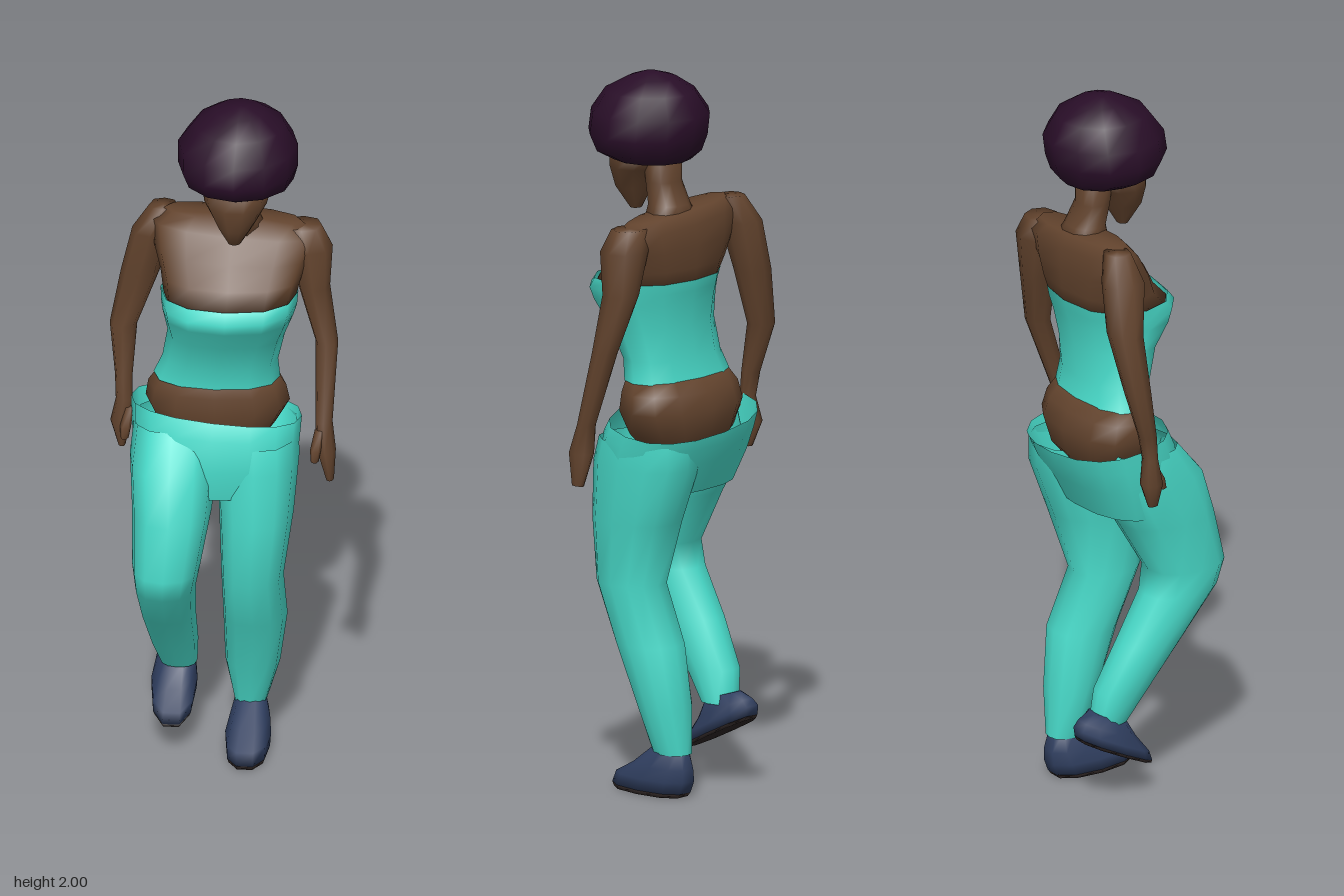
import * as THREE from 'three';

const mat = (name, color, side = THREE.FrontSide) => {
  const m = new THREE.MeshStandardMaterial({ color, side });
  m.name = name;
  return m;
};

// Lofts rings listed bottom to top: [y, x0, x1, z0, z1, slopeX, slopeZ]
function loft(rings, { sides = 12, power = 0.85, bottom = true, top = true } = {}) {
  const pos = [], idx = [];
  const bend = (v) => Math.sign(v) * Math.pow(Math.abs(v), power);
  for (const [y, x0, x1, z0, z1, sx = 0, sz = 0] of rings) {
    for (let j = 0; j < sides; j++) {
      const t = (j / sides) * Math.PI * 2;
      const dx = bend(Math.cos(t)) * (x1 - x0) / 2;
      const dz = bend(Math.sin(t)) * (z1 - z0) / 2;
      pos.push((x0 + x1) / 2 + dx, y + sx * dx + sz * dz, (z0 + z1) / 2 + dz);
    }
  }
  for (let i = 0; i < rings.length - 1; i++) {
    for (let j = 0; j < sides; j++) {
      const k = (j + 1) % sides;
      const a = i * sides + j, b = i * sides + k;
      idx.push(a, a + sides, b, b, a + sides, b + sides);
    }
  }
  const cap = (row, up) => {
    const [y, x0, x1, z0, z1] = rings[row];
    const c = pos.length / 3;
    pos.push((x0 + x1) / 2, y, (z0 + z1) / 2);
    for (let j = 0; j < sides; j++) {
      const a = row * sides + j, b = row * sides + (j + 1) % sides;
      if (up) idx.push(c, b, a);
      else idx.push(c, a, b);
    }
  };
  if (bottom) cap(0, false);
  if (top) cap(rings.length - 1, true);
  const g = new THREE.BufferGeometry();
  g.setAttribute('position', new THREE.Float32BufferAttribute(pos, 3));
  g.setIndex(idx);
  g.computeVertexNormals();
  return g;
}

export function createModel() {
  const model = new THREE.Group();
  model.name = 'walkingWoman';
  const skin = mat('skin', 0x62432d);
  const cloth = mat('turquoise cloth', 0x48dac9, THREE.DoubleSide);
  const hairMat = mat('hair', 0x290e28);
  const shoeMat = mat('navy shoe', 0x303f60);
  const soleMat = mat('dark sole', 0x2b2322);

  const add = (name, material, rings, opts) => {
    const mesh = new THREE.Mesh(loft(rings, opts), material);
    mesh.name = name;
    model.add(mesh);
  };

  // Head
  add('hair', hairMat, [
    [1.76, -0.06, 0.15, -0.13, 0.09],
    [1.785, -0.105, 0.195, -0.155, 0.135],
    [1.83, -0.12, 0.207, -0.172, 0.163],
    [1.89, -0.12, 0.207, -0.18, 0.153],
    [1.95, -0.075, 0.17, -0.145, 0.11],
    [1.985, -0.02, 0.115, -0.09, 0.045],
    [2.0, 0.03, 0.07, -0.04, 0],
  ], { sides: 12, power: 1 });
  add('face', skin, [
    [1.61, 0.02, 0.055, 0.03, 0.06],
    [1.67, -0.01, 0.09, -0.005, 0.105],
    [1.73, -0.045, 0.125, -0.04, 0.107],
    [1.8, -0.06, 0.145, -0.11, 0.11],
  ], { sides: 10, power: 1 });
  add('neck', skin, [
    [1.58, -0.05, 0.125, -0.155, -0.02],
    [1.64, -0.02, 0.095, -0.13, -0.025],
    [1.7, -0.015, 0.085, -0.1, -0.01],
    [1.79, -0.02, 0.09, -0.1, 0],
  ], { sides: 10 });

  // Torso
  add('upperChest', skin, [
    [1.42, -0.16, 0.2, -0.155, 0.125],
    [1.47, -0.17, 0.215, -0.165, 0.075],
    [1.53, -0.19, 0.235, -0.17, 0.035, -0.05],
    [1.59, -0.2, 0.255, -0.165, -0.015, -0.08],
    [1.625, -0.16, 0.21, -0.145, -0.045, -0.08],
  ]);
  add('tubeTop', cloth, [
    [1.15, -0.19, 0.155, -0.15, 0.04],
    [1.21, -0.165, 0.15, -0.135, 0.045],
    [1.3, -0.15, 0.17, -0.135, 0.085],
    [1.37, -0.162, 0.195, -0.145, 0.135],
    [1.405, -0.166, 0.205, -0.155, 0.15],
    [1.435, -0.168, 0.207, -0.16, 0.125],
  ], { bottom: false, top: false });
  add('hips', skin, [
    [0.95, -0.12, 0.09, -0.14, 0.01],
    [1.0, -0.18, 0.14, -0.18, 0.04],
    [1.07, -0.213, 0.18, -0.192, 0.05],
    [1.12, -0.205, 0.17, -0.175, 0.045],
    [1.16, -0.18, 0.148, -0.145, 0.035],
  ]);

  // Arms, with hands
  add('rightArm', skin, [
    [0.91, -0.288, -0.268, -0.09, -0.06],
    [0.98, -0.31, -0.255, -0.115, -0.05],
    [1.05, -0.295, -0.25, -0.1, -0.06],
    [1.12, -0.298, -0.25, -0.115, -0.065],
    [1.26, -0.315, -0.24, -0.16, -0.09],
    [1.42, -0.285, -0.18, -0.18, -0.09],
    [1.56, -0.253, -0.15, -0.18, -0.06],
    [1.635, -0.205, -0.13, -0.15, -0.08],
  ], { sides: 8 });
  add('leftArm', skin, [
    [0.88, 0.285, 0.307, 0, 0.04],
    [0.97, 0.258, 0.312, -0.02, 0.055],
    [1.05, 0.255, 0.302, -0.02, 0.03],
    [1.26, 0.25, 0.312, -0.1, -0.03],
    [1.42, 0.2, 0.288, -0.14, -0.04],
    [1.54, 0.17, 0.295, -0.155, -0.03],
    [1.6, 0.16, 0.265, -0.14, -0.05],
  ], { sides: 8 });
  for (const [name, x, z] of [['rightThumb', -0.265, -0.055], ['leftThumb', 0.26, 0.04]]) {
    add(name, skin, [
      [0.95, x - 0.014, x + 0.008, z + 0.005, z + 0.03],
      [0.98, x - 0.016, x + 0.014, z - 0.01, z + 0.025],
      [1.03, x - 0.005, x + 0.02, z - 0.03, z],
    ], { sides: 6 });
  }

  // Loose trousers, open at the waist
  add('trouserWaist', cloth, [
    [0.84, -0.225, 0.19, -0.15, 0.1],
    [0.93, -0.245, 0.205, -0.195, 0.115],
    [1.0, -0.25, 0.21, -0.22, 0.1, -0.06, 0.12],
    [1.04, -0.252, 0.212, -0.23, 0.075, -0.1, 0.16],
  ], { sides: 16, bottom: false, top: false });
  add('rightTrouserLeg', cloth, [
    [0.23, -0.175, -0.075, -0.165, -0.065],
    [0.32, -0.2, -0.07, -0.155, 0],
    [0.45, -0.22, -0.07, -0.085, 0.1],
    [0.58, -0.23, -0.063, -0.01, 0.21],
    [0.65, -0.235, -0.05, 0.005, 0.235],
    [0.8, -0.24, -0.022, -0.08, 0.205],
    [0.93, -0.25, -0.012, -0.16, 0.165],
    [1.03, -0.24, -0.02, -0.13, 0.08],
  ], { bottom: false, top: false });
  add('leftTrouserLeg', cloth, [
    [0.12, 0.025, 0.115, -0.175, -0.065],
    [0.25, 0.002, 0.152, -0.168, -0.03],
    [0.42, 0, 0.175, -0.148, 0.04],
    [0.58, 0, 0.17, -0.08, 0.115],
    [0.76, -0.008, 0.195, -0.14, 0.118],
    [0.92, -0.02, 0.208, -0.2, 0.11],
    [0.99, -0.02, 0.205, -0.2, 0.09],
  ], { bottom: false, top: false });

  // Shoes: the left stands flat, the right lifts its heel
  add('leftShoe', shoeMat, [
    [0.012, 0.008, 0.128, -0.17, 0.09],
    [0.045, 0.005, 0.13, -0.182, 0.075],
    [0.08, 0.015, 0.125, -0.182, 0.01],
    [0.14, 0.032, 0.11, -0.165, -0.07],
  ], { sides: 10 });
  add('leftSole', soleMat, [
    [0, 0.012, 0.124, -0.16, 0.085],
    [0.012, 0.008, 0.128, -0.17, 0.09],
  ], { sides: 10 });
  add('rightShoe', shoeMat, [
    [0.147, -0.2, -0.077, -0.225, 0.01, 0, -0.5],
    [0.175, -0.2, -0.075, -0.228, 0.0, 0, -0.5],
    [0.21, -0.188, -0.08, -0.212, -0.04, 0, -0.45],
    [0.25, -0.17, -0.085, -0.175, -0.075, 0, -0.3],
  ], { sides: 10 });
  add('rightSole', soleMat, [
    [0.137, -0.196, -0.081, -0.22, 0.008, 0, -0.5],
    [0.147, -0.2, -0.077, -0.225, 0.01, 0, -0.5],
  ], { sides: 10 });

  return model;
}
